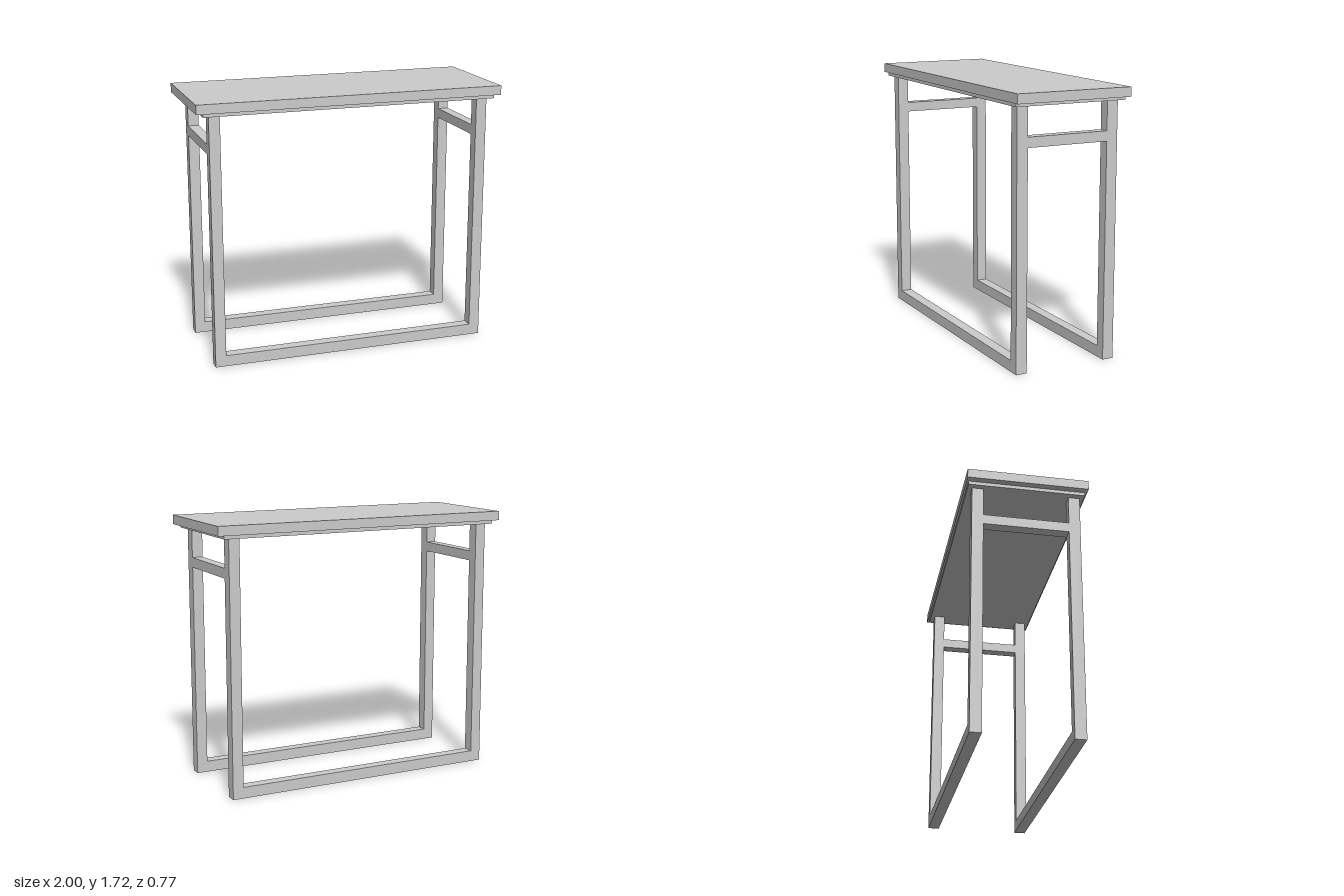
import * as THREE from 'three';

const material = new THREE.MeshStandardMaterial({ color: 0xcccccc });

function box(name, w, h, d, x, y, z) {
  const mesh = new THREE.Mesh(new THREE.BoxGeometry(w, h, d), material);
  mesh.name = name;
  mesh.position.set(x, y, z);
  return mesh;
}

// U-shaped leg frame: two legs joined by a floor rail
function legFrame(name, z) {
  const outer = 0.917, inner = 0.847, top = 1.635, rail = 0.072, depth = 0.073;
  const shape = new THREE.Shape([
    [-outer, 0], [outer, 0], [outer, top], [inner, top],
    [inner, rail], [-inner, rail], [-inner, top], [-outer, top],
  ].map(([x, y]) => new THREE.Vector2(x, y)));
  const geometry = new THREE.ExtrudeGeometry(shape, { depth, bevelEnabled: false });
  geometry.translate(0, 0, -depth / 2);
  const mesh = new THREE.Mesh(geometry, material);
  mesh.name = name;
  mesh.position.z = z;
  return mesh;
}

export function createModel() {
  const table = new THREE.Group();
  table.name = 'consoleTable';

  // Top slab and the slightly smaller panel beneath it
  table.add(box('tabletop', 2, 0.06, 0.768, 0, 1.685, 0));
  table.add(box('underPanel', 1.912, 0.022, 0.742, 0, 1.644, 0));

  // Front and back frames
  table.add(legFrame('frontLegFrame', 0.307));
  table.add(legFrame('backLegFrame', -0.307));

  // Cross rails tying the frames together at each end
  for (const [name, side] of [['leftCrossRail', 1], ['rightCrossRail', -1]]) {
    table.add(box(name, 0.07, 0.064, 0.541, side * 0.882, 1.415, 0));
  }
  return table;
}
